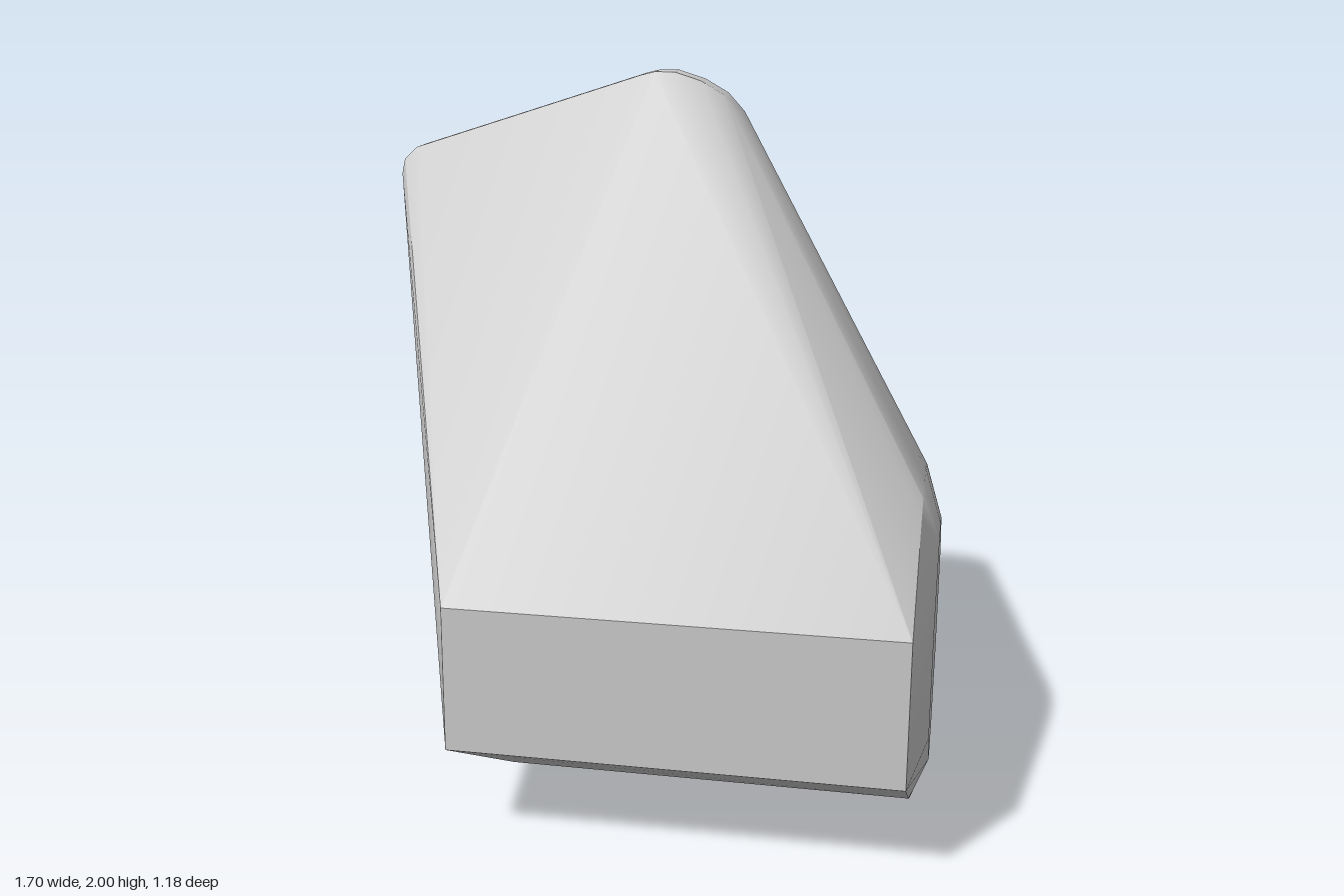
import * as THREE from 'three';
import { ConvexGeometry } from 'three/addons/geometries/ConvexGeometry.js';
import { toCreasedNormals } from 'three/addons/utils/BufferGeometryUtils.js';

export function createModel() {
  const group = new THREE.Group();
  const grey = new THREE.MeshStandardMaterial({ color: 0xcccccc });
  grey.name = 'light grey';

  const points = [];
  const add = (x, y, z) => points.push(new THREE.Vector3(x, y, z));

  // Front face rectangle
  for (const x of [-0.43, 0.8]) for (const y of [0.28, 0.69]) add(x, y, 0.585);

  // Tall back face: rounded top corners, given a thin flat rim
  const crown = [
    [-0.855, 1.68], [-0.845, 1.725], [-0.805, 1.762],
    [-0.1, 1.99], [-0.06, 2], [0, 2], [0.08, 1.975], [0.15, 1.935], [0.2, 1.88],
  ];
  for (const [x, y] of crown) for (const z of [-0.5, -0.59]) add(x, y, z);

  // Lower outline of the back face
  for (const [x, y] of [[-0.635, 0.42], [-0.62, 0.37], [-0.59, 0.33], [-0.53, 0.285], [0.8, 0.28], [0.8, 0.69]]) {
    add(x, y, -0.59);
  }

  // Side profile with rounded top and bottom, and a shallow domed cap
  const rise = [[0.59, 0.205], [0.23, 0.412], [0.16, 0.447], [0.08, 0.475], [0, 0.484]];
  for (const [z, h] of rise) {
    for (const sz of [-1, 1]) for (const sy of [-1, 1]) add(0.8, 0.485 + sy * h, sz * z);
  }
  for (const [z, h] of [[0.32, 0.16], [0.1, 0.33], [0, 0.345]]) {
    for (const sz of [-1, 1]) for (const sy of [-1, 1]) add(0.848, 0.465 + sy * h, sz * z);
  }

  // Far end of the rounded underside
  for (const [z, h] of rise.slice(1)) {
    add(-0.28 - 0.25 * z, 0.49 - h, z);
    add(-0.28 - 0.42 * z, 0.49 - h, -z);
  }

  const body = new THREE.Mesh(toCreasedNormals(new ConvexGeometry(points), 0.5), grey);
  body.name = 'body';
  group.add(body);
  return group;
}
